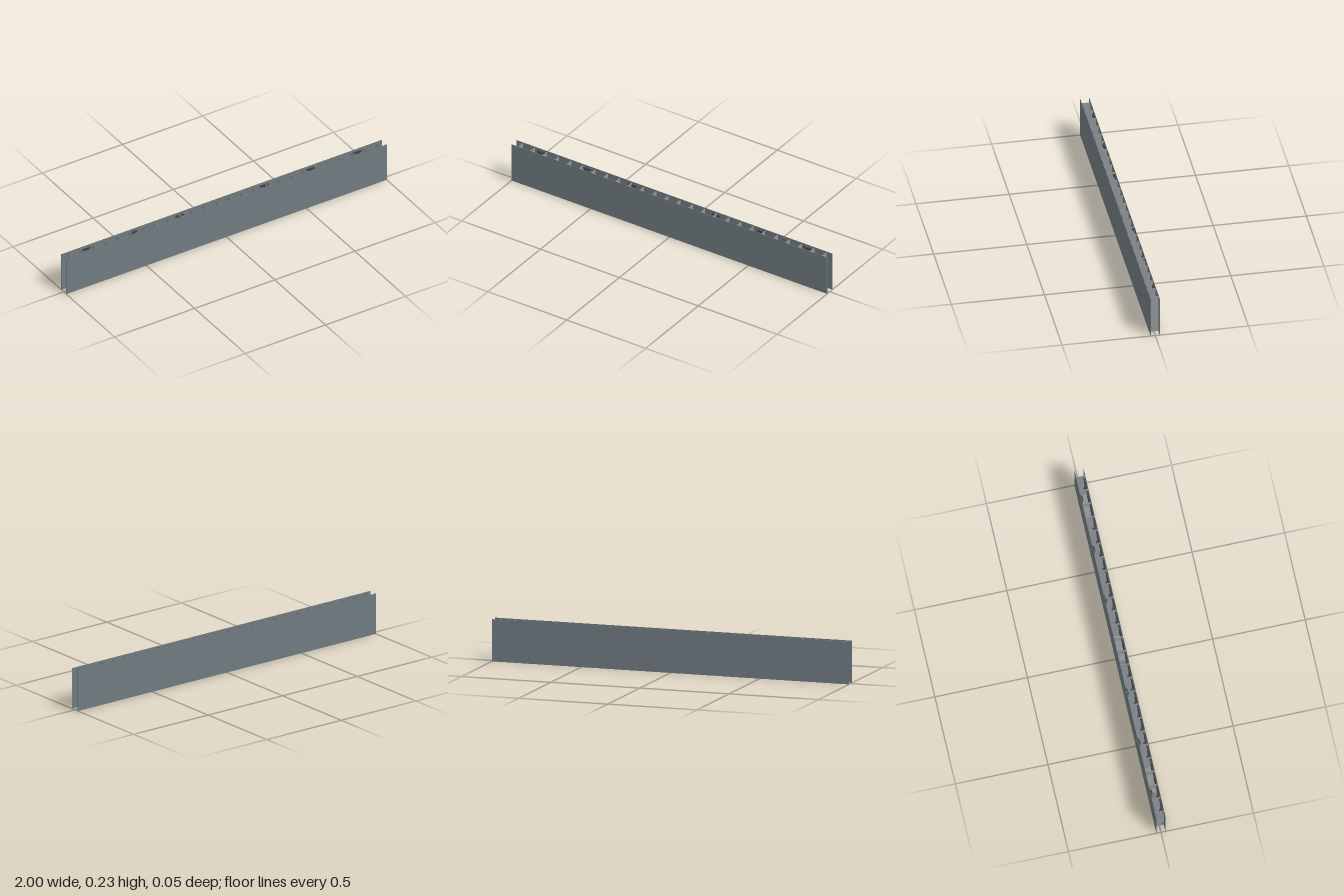
import * as THREE from 'three';

export function createModel() {
  const root = new THREE.Group();
  const mat = (color) => new THREE.MeshStandardMaterial({ color });
  const panelMat = mat(0x6f7a80), ribMat = mat(0x8f9598), caseMat = mat(0x8a8d8f);
  const darkMat = mat(0x3c4042), redMat = mat(0xb04038);

  // Box given by its minimum and maximum corners
  const box = (name, material, [x0, y0, z0], [x1, y1, z1]) => {
    const m = new THREE.Mesh(new THREE.BoxGeometry(x1 - x0, y1 - y0, z1 - z0), material);
    m.position.set((x0 + x1) / 2, (y0 + y1) / 2, (z0 + z1) / 2);
    m.name = name;
    root.add(m);
  };

  // Two thin outer sheets
  box('frontPanel', panelMat, [-1, 0, 0.0235], [1, 0.226, 0.025]);
  box('backPanel', panelMat, [-1, 0, -0.025], [1, 0.226, -0.0235]);

  // Evenly spaced upright ribs between the sheets
  for (let i = 0; i < 26; i++) {
    const x = -0.9625 + i * 0.077;
    box('rib', ribMat, [x - 0.0008, 0.004, -0.0235], [x + 0.0008, 0.222, 0.0235]);
  }

  // Long rods running through the ribs behind the front sheet
  for (const [y, r] of [[0.197, 0.0035], [0.171, 0.0015], [0.113, 0.0015], [0.057, 0.0015], [0.031, 0.0035]]) {
    const rod = new THREE.Mesh(new THREE.CylinderGeometry(r, r, 1.93, 10), darkMat);
    rod.rotation.z = Math.PI / 2;
    rod.position.set(0, y, 0.021 - r);
    rod.name = 'rod';
    root.add(rod);
  }

  // Three enclosed equipment cases
  for (const x of [-0.763, -0.005, 0.805])
    box('equipmentCase', caseMat, [x - 0.073, 0.059, -0.0235], [x + 0.073, 0.168, 0.013]);

  // Brackets along the top of the back sheet
  for (const x of [-0.845, -0.555, -0.265, 0.265, 0.555, 0.845]) {
    box('bracket', darkMat, [x - 0.024, 0.202, -0.0235], [x + 0.024, 0.211, -0.018]);
    box('bracketTongue', darkMat, [x - 0.012, 0.202, -0.018], [x + 0.012, 0.211, -0.013]);
  }

  // Small red blocks along the bottom of the back sheet
  for (const x of [-0.63, 0.215, 0.675])
    box('lowerBlock', redMat, [x - 0.01, 0.007, -0.0235], [x + 0.01, 0.013, -0.008]);

  return root;
}
